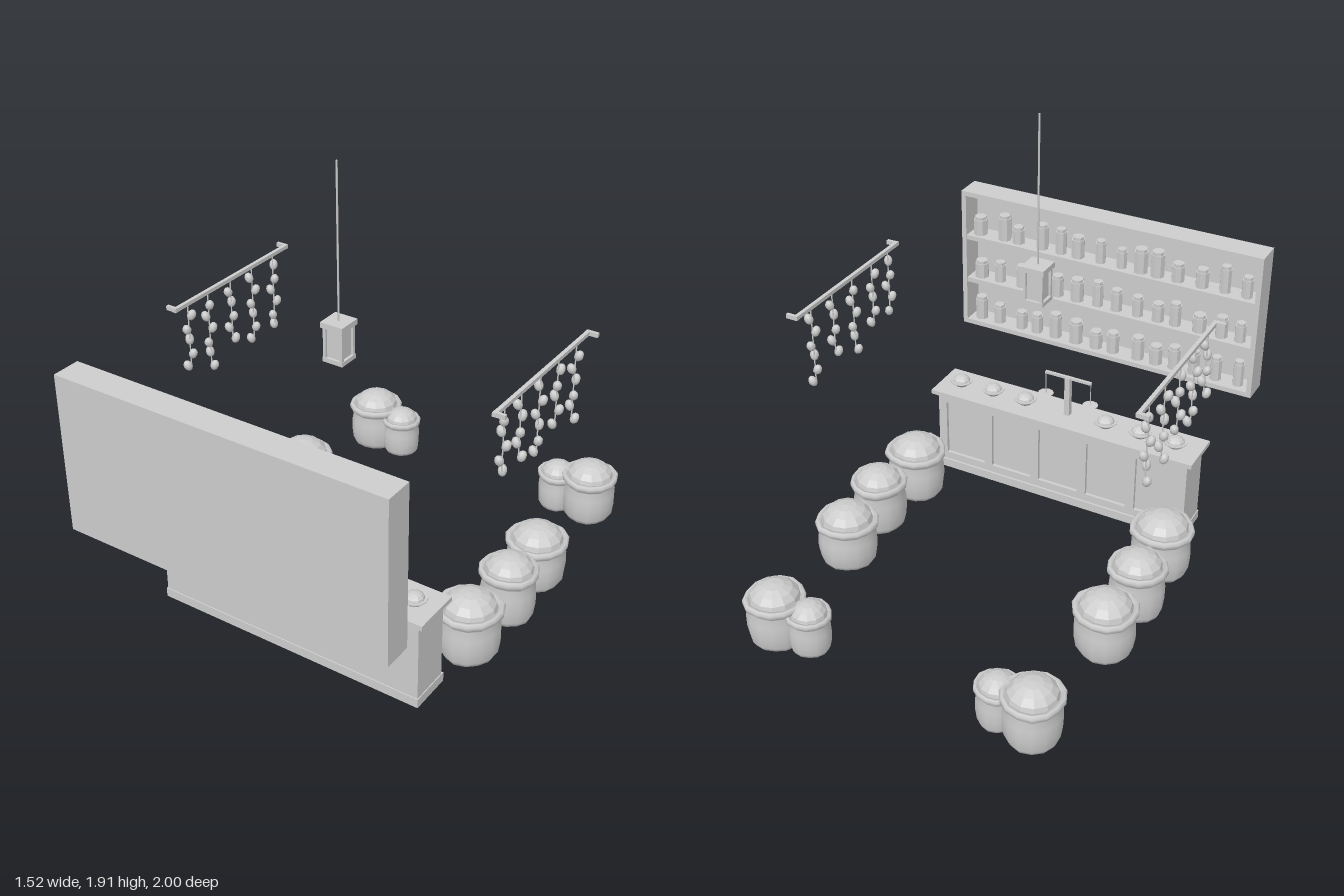
import * as THREE from 'three';
import { mergeVertices } from 'three/addons/utils/BufferGeometryUtils.js';

const grey = new THREE.MeshStandardMaterial({ color: 0xcccccc });
grey.name = 'plain grey';

let seed = 7;
const rand = () => (seed = (seed * 16807) % 2147483647) / 2147483647;

function add(parent, name, geometry, x = 0, y = 0, z = 0) {
  const mesh = new THREE.Mesh(geometry, grey);
  mesh.name = name;
  mesh.position.set(x, y, z);
  parent.add(mesh);
  return mesh;
}

function group(parent, name, x = 0, y = 0, z = 0) {
  const g = new THREE.Group();
  g.name = name;
  g.position.set(x, y, z);
  parent.add(g);
  return g;
}

// Box given by its limits on each axis
function box(parent, name, x0, x1, y0, y1, z0, z1) {
  return add(parent, name, new THREE.BoxGeometry(x1 - x0, y1 - y0, z1 - z0),
    (x0 + x1) / 2, (y0 + y1) / 2, (z0 + z1) / 2);
}

const cyl = (rTop, rBottom, h, n = 8) => new THREE.CylinderGeometry(rTop, rBottom, h, n);
const lathe = (points, n) => new THREE.LatheGeometry(points.map(p => new THREE.Vector2(...p)), n);

function faceted(geometry) {
  const g = geometry.toNonIndexed();
  g.computeVertexNormals();
  return g;
}

// Low faceted mound of goods
function mound(r, h, n) {
  return faceted(new THREE.SphereGeometry(r, n, 4, 0, Math.PI * 2, 0, Math.PI / 2).scale(1, h / r, 1));
}

// Open sack: slightly uneven body with a rolled rim, filled with goods
function sack(parent, x, z, r, rim, top) {
  const g = group(parent, 'sack', x, 0, z);
  const profile = [[0, 0], [0.78, 0], [0.87, 0.1], [0.92, 0.35], [0.91, 0.6], [0.85, 0.79],
    [0.9, 0.84], [0.98, 0.88], [0.99, 0.95], [0.93, 1], [0.82, 0.99], [0.76, 0.9]];
  let body = lathe(profile.map(([a, b]) => [a * r, b * rim]), 14);
  body.deleteAttribute('uv');
  body.deleteAttribute('normal');
  body = mergeVertices(body, 1e-5);
  const p = body.attributes.position, phase = rand() * 6;
  for (let i = 0; i < p.count; i++) {
    const a = Math.atan2(p.getZ(i), p.getX(i));
    const k = 1 + 0.025 * Math.sin(3 * a + phase) + 0.015 * Math.sin(5 * a + 2 * phase + p.getY(i) * 20);
    p.setX(i, p.getX(i) * k);
    p.setZ(i, p.getZ(i) * k);
  }
  body.computeVertexNormals();
  add(g, 'sackBody', body);
  add(g, 'sackGoods', mound(r * 0.82, top - rim * 0.93, 12), 0, rim * 0.93, 0);
}

// Cabinet, open towards -z, with three rows of jars
function buildCabinet(parent) {
  const g = group(parent, 'jarCabinet');
  const w = 0.715, y0 = 0.515, y1 = 1.19, t = 0.022;
  box(g, 'cabinetBack', -w, w, y0, y1, 0.985, 1);
  for (const s of [-1, 1]) {
    const c = s * (w - t / 2);
    box(g, 'cabinetSide', c - t / 2, c + t / 2, y0, y1, 0.88, 0.985);
  }
  const step = (y1 - y0 - t) / 3;
  for (let i = 0; i < 4; i++) {
    const y = y0 + i * step;
    box(g, 'cabinetShelf', -w + t, w - t, y, y + t, i % 3 ? 0.885 : 0.88, 0.985);
    if (i === 3) continue;
    for (let j = 0; j < 14; j++) {
      const r = 0.024 + rand() * 0.009, h = 0.065 + rand() * 0.045;
      const jar = group(g, 'jar', -0.63 + j * 0.097 + (rand() - 0.5) * 0.03, y + t, 0.93);
      add(jar, 'jarBody', faceted(cyl(r, r, h)), 0, h / 2, 0);
      add(jar, 'jarLid', faceted(cyl(r * 0.85, r * 0.85, 0.014)), 0, h + 0.007, 0);
    }
  }
}

// Counter with a framed panel face towards -z
function buildCounter(parent) {
  const g = group(parent, 'counter');
  box(g, 'counterBody', -0.605, 0.605, 0, 0.387, 0.47, 0.625);
  box(g, 'counterTop', -0.63, 0.63, 0.385, 0.405, 0.435, 0.645);
  box(g, 'counterBase', -0.609, 0.609, 0, 0.04, 0.445, 0.63);
  box(g, 'topRail', -0.605, 0.605, 0.345, 0.386, 0.455, 0.47);
  box(g, 'bottomRail', -0.605, 0.605, 0.04, 0.075, 0.455, 0.47);
  for (let i = 0; i < 6; i++) {
    const x = -0.585 + i * 0.234;
    box(g, 'stile', x - 0.02, x + 0.02, 0.075, 0.345, 0.455, 0.47);
  }
}

function buildBowls(parent) {
  for (const x of [-0.514, -0.35, -0.186, 0.207, 0.37, 0.533]) {
    const g = group(parent, 'bowl', x, 0.405, 0.54);
    add(g, 'bowlBody', faceted(lathe([[0, 0], [0.028, 0], [0.051, 0.021], [0.051, 0.025], [0.04, 0.024], [0, 0.015]], 12)));
    add(g, 'bowlGoods', mound(0.04, 0.028, 10), 0, 0.021, 0);
  }
}

// Balance with two hanging pans
function buildBalance(parent) {
  const g = group(parent, 'balance', 0, 0.405, 0.545);
  box(g, 'balancePost', -0.0125, 0.0125, 0, 0.19, -0.0125, 0.0125);
  box(g, 'balanceBeam', -0.11, 0.11, 0.182, 0.194, -0.006, 0.006);
  for (const s of [-1, 1]) {
    add(g, 'panCord', cyl(0.002, 0.002, 0.11, 5), s * 0.108, 0.13, 0);
    add(g, 'pan', faceted(cyl(0.035, 0.016, 0.01, 12)), s * 0.108, 0.075, 0);
  }
}

function buildLantern(parent) {
  const g = group(parent, 'lantern', 0, 0, 0.24);
  add(g, 'lanternRod', cyl(0.004, 0.004, 0.63, 6), 0, 1.597, 0);
  box(g, 'lanternCap', -0.05, 0.05, 1.262, 1.285, -0.05, 0.05);
  box(g, 'lanternBase', -0.045, 0.045, 1.12, 1.138, -0.045, 0.045);
  box(g, 'lanternGlass', -0.033, 0.033, 1.138, 1.262, -0.033, 0.033);
  for (const x of [-0.037, 0.037]) for (const z of [-0.037, 0.037])
    box(g, 'lanternPost', x - 0.006, x + 0.006, 1.138, 1.262, z - 0.006, z + 0.006);
}

// Wall rail with five strands of hanging bulbs
function buildRail(parent, s) {
  const g = group(parent, 'hangingRail', s * 0.717, 0, 0);
  box(g, 'railBar', -0.008, 0.008, 1.157, 1.173, -0.395, 0.34);
  for (const z of [-0.392, 0.33])
    box(g, 'railBracket', s > 0 ? -0.008 : -0.043, s > 0 ? 0.043 : 0.008, 1.156, 1.174, z - 0.007, z + 0.007);
  const bulb = new THREE.SphereGeometry(0.018, 8, 6).scale(1, 1.3, 1);
  [0.26, 0.135, -0.01, -0.152, -0.297].forEach((z, i) => {
    const strand = group(g, 'strand', 0, 1.16, z);
    const count = s > 0 ? [5, 5, 6, 5, 6][i] : [5, 6, 5, 6, 6][i];
    add(strand, 'strandCord', cyl(0.003, 0.003, count * 0.055, 5), 0, -count * 0.0275, 0);
    for (let j = 0; j < count; j++) {
      const a = j * 2.4 + i * 1.3 + s;
      const m = add(strand, 'bulb', bulb, Math.cos(a) * 0.012, -0.05 - j * 0.056, Math.sin(a) * 0.016);
      m.rotation.set(Math.sin(a) * 0.4, 0, -Math.cos(a) * 0.4);
    }
  });
}

export function createModel() {
  const model = new THREE.Group();
  model.name = 'marketStall';
  buildCabinet(model);
  buildCounter(model);
  buildBowls(model);
  buildBalance(model);
  buildLantern(model);
  for (const s of [-1, 1]) {
    buildRail(model, s);
    // x, z, radius, rim height, top height
    for (const [x, z, r, rim, top] of [
      [0.597, 0.235, 0.137, 0.222, 0.282], [0.612, -0.052, 0.125, 0.23, 0.285],
      [0.597, -0.32, 0.135, 0.207, 0.27], [0.566, -0.872, 0.126, 0.208, 0.265],
      [0.416, -0.862, 0.092, 0.175, 0.22],
    ]) sack(model, s * x, z, r, rim, top);
  }
  return model;
}
